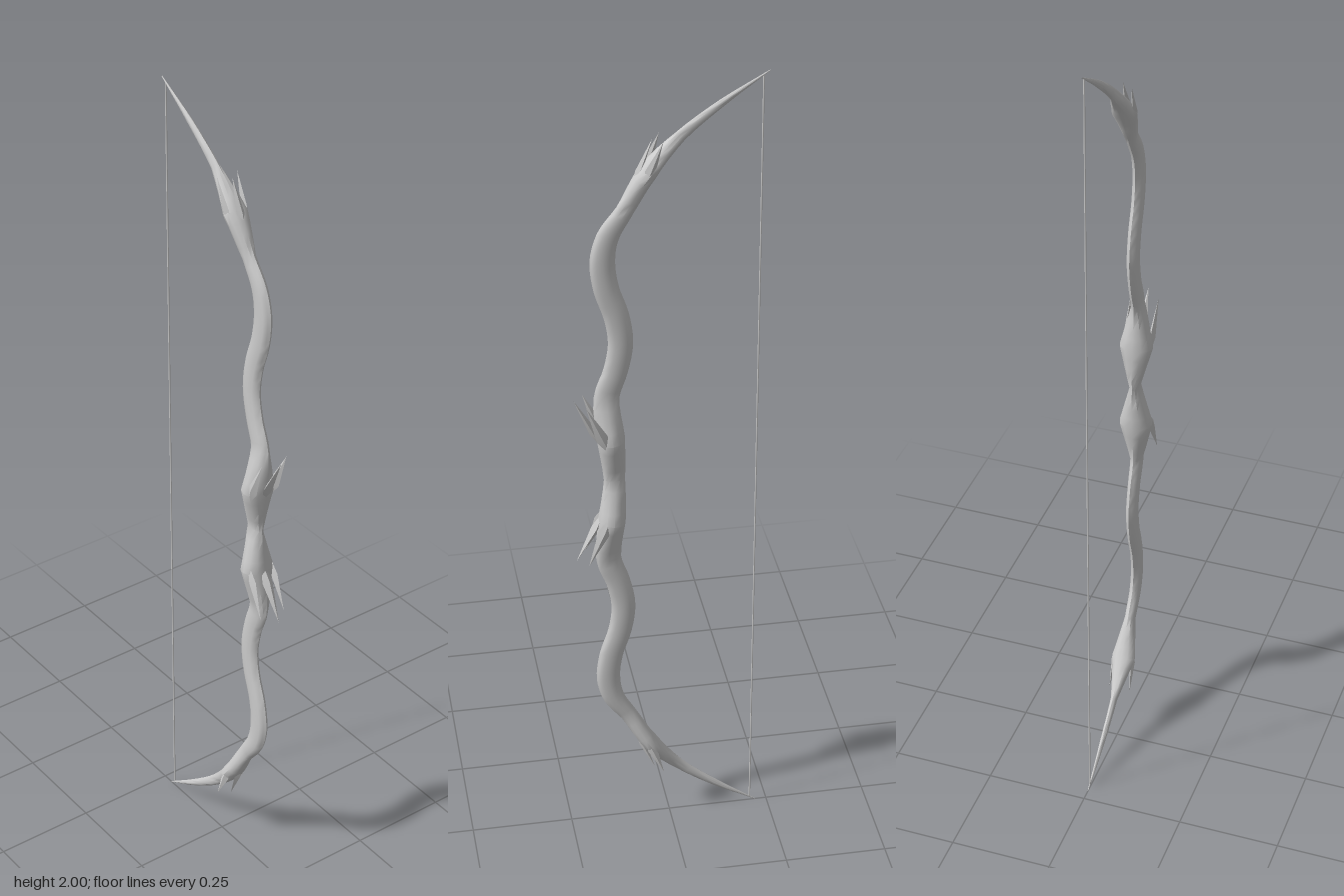
import * as THREE from 'three';
import { toCreasedNormals } from 'three/addons/utils/BufferGeometryUtils.js';

const grey = new THREE.MeshStandardMaterial({ color: 0xcccccc });
const V = (x, y, z) => new THREE.Vector3(x, y, z);

// Skin elliptical rings along a path; stations are { c: centre, a: half width in x, b: half depth }
function loft(stations, sides) {
  const pos = [], idx = [], n = stations.length;
  stations.forEach((s, i) => {
    const t = stations[Math.min(i + 1, n - 1)].c.clone()
      .sub(stations[Math.max(i - 1, 0)].c).normalize();
    const u = V(1, 0, 0).addScaledVector(t, -t.x).normalize();
    const v = t.clone().cross(u);
    for (let j = 0; j < sides; j++) {
      const q = (j / sides) * Math.PI * 2;
      const p = s.c.clone().addScaledVector(u, Math.cos(q) * s.a).addScaledVector(v, Math.sin(q) * s.b);
      pos.push(p.x, p.y, p.z);
    }
  });
  for (let i = 0; i < n - 1; i++) {
    for (let j = 0; j < sides; j++) {
      const k = (j + 1) % sides;
      const a = i * sides + j, b = i * sides + k, c = b + sides, d = a + sides;
      idx.push(a, b, c, a, c, d);
    }
  }
  const g = new THREE.BufferGeometry();
  g.setAttribute('position', new THREE.Float32BufferAttribute(pos, 3));
  g.setIndex(idx);
  return g;
}

// Upper half of the stave: [y, z, half width, half depth]
const KEYS = [
  [1.0, 0.13, 0.012, 0.025],
  [1.11, 0.137, 0.041, 0.033],
  [1.22, 0.146, 0.014, 0.03],
  [1.29, 0.124, 0.013, 0.029],
  [1.36, 0.112, 0.013, 0.029],
  [1.43, 0.121, 0.013, 0.029],
  [1.5, 0.143, 0.013, 0.029],
  [1.57, 0.151, 0.013, 0.029],
  [1.63, 0.138, 0.013, 0.026],
  [1.69, 0.1, 0.013, 0.021],
  [1.78, 0.048, 0.03, 0.021],
  [1.86, -0.025, 0.008, 0.014],
  [1.93, -0.115, 0.006, 0.009],
  [1.999, -0.221, 0.001, 0.001],
];

function stave() {
  const keys = [...KEYS.slice(1).reverse().map(([y, ...r]) => [2 - y, ...r]), ...KEYS];
  const curve = new THREE.CatmullRomCurve3(keys.map(k => V(0, k[0], k[1])));
  const steps = 4, stations = [];
  for (let i = 0; i <= (keys.length - 1) * steps; i++) {
    const k = Math.min(Math.floor(i / steps), keys.length - 2), f = i / steps - k;
    stations.push({
      c: curve.getPoint(i / steps / (keys.length - 1)),
      a: THREE.MathUtils.lerp(keys[k][2], keys[k + 1][2], f),
      b: THREE.MathUtils.lerp(keys[k][3], keys[k + 1][3], f),
    });
  }
  return toCreasedNormals(loft(stations, 12), 0.65);
}

// Four-sided thorn, swelling a third of the way to its tip
function thorn(root, tip, a, b) {
  return toCreasedNormals(loft([
    { c: root, a: 0, b: 0 },
    { c: root.clone().lerp(tip, 0.35), a, b },
    { c: tip, a: 0, b: 0 },
  ], 4), 0.3);
}

export function createModel() {
  const bow = new THREE.Group();
  bow.name = 'bow';
  const add = (parent, name, geometry) => {
    const m = new THREE.Mesh(geometry, grey);
    m.name = name;
    parent.add(m);
    return m;
  };

  add(bow, 'stave', stave());

  // Thorns on both halves, pointing toward the tips
  for (const [half, s] of [['upper', 1], ['lower', -1]]) {
    const group = new THREE.Group();
    group.name = half + 'Thorns';
    bow.add(group);
    const P = (x, y, z) => V(x, 1 + s * (y - 1), z);

    // Grip collar
    add(group, 'gripFrontThorn', thorn(P(0, 1.08, 0.152), P(0, 1.22, 0.223), 0.014, 0.01));
    for (const x of [-1, 1]) {
      add(group, 'gripSideThorn',
        thorn(P(x * 0.03, 1.08, 0.14), P(x * 0.034, 1.215, 0.198), 0.008, 0.015));
    }

    // Limb collar
    add(group, 'limbFrontThorn', thorn(P(0, 1.74, 0.085), P(0, 1.86, 0.037), 0.011, 0.008));
    for (const x of [-1, 1]) {
      add(group, 'limbSideThorn',
        thorn(P(x * 0.022, 1.75, 0.062), P(x * 0.027, 1.86, 0.018), 0.007, 0.012));
    }
  }

  // Bowstring
  const string = add(bow, 'bowstring', new THREE.CylinderGeometry(0.002, 0.002, 1.98, 6));
  string.position.set(0, 1, -0.207);

  return bow;
}
